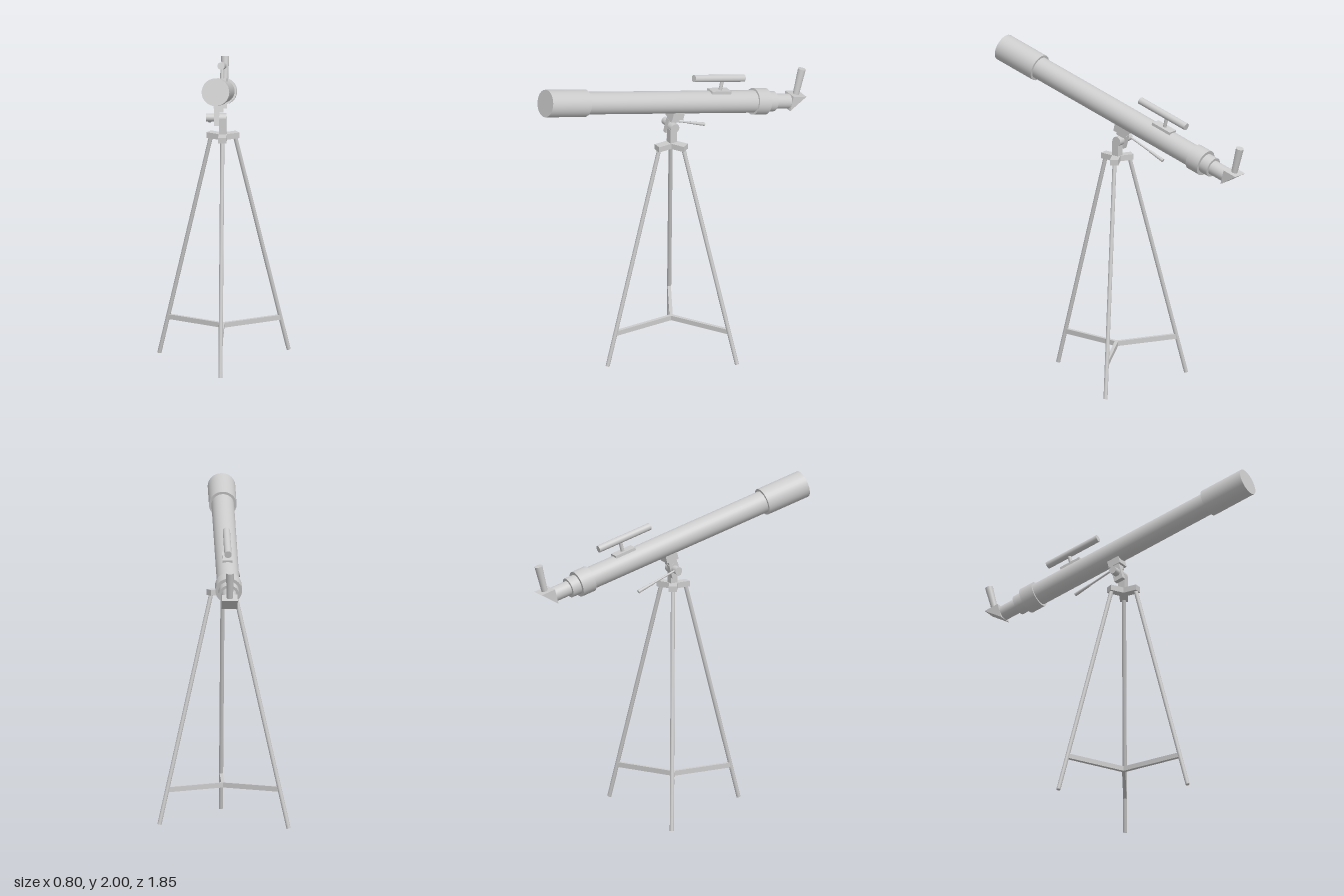
import * as THREE from 'three';

const mat = new THREE.MeshStandardMaterial({ color: 0xcccccc });
const TILT = Math.PI / 12;

function add(parent, name, geo, x = 0, y = 0, z = 0) {
  const m = new THREE.Mesh(geo, mat);
  m.name = name;
  m.position.set(x, y, z);
  parent.add(m);
  return m;
}

// Cylinder along local z between distances s0 and s1 behind the front end
function barrel(parent, name, r, s0, s1, y = 0) {
  const geo = new THREE.CylinderGeometry(r, r, s1 - s0, 32).rotateX(Math.PI / 2);
  return add(parent, name, geo, 0, y, -(s0 + s1) / 2);
}

// Round bar between two points, r0 at a and r1 at b
function rod(parent, name, a, b, r0, r1 = r0) {
  const d = b.clone().sub(a);
  const m = add(parent, name, new THREE.CylinderGeometry(r1, r0, d.length(), 12));
  m.position.copy(a).addScaledVector(d, 0.5);
  m.quaternion.setFromUnitVectors(new THREE.Vector3(0, 1, 0), d.normalize());
  return m;
}

function box(parent, name, w, h, d, x, y, z) {
  return add(parent, name, new THREE.BoxGeometry(w, h, d), x, y, z);
}

function createTelescope() {
  const g = new THREE.Group();
  g.name = 'telescope';
  g.position.set(-0.016, 1.92, 0.906);
  g.rotation.x = -TILT;

  // Main tube, stepping down to the focuser
  barrel(g, 'dewShield', 0.083, 0, 0.285);
  barrel(g, 'mainTube', 0.068, 0.27, 1.53);
  barrel(g, 'rearRing', 0.08, 1.51, 1.6);
  barrel(g, 'focuserCollar', 0.061, 1.59, 1.66);
  barrel(g, 'drawTube', 0.045, 1.65, 1.77);

  // Right-angle prism with its slanted face below and behind
  const tri = new THREE.Shape([[0, 0.047], [0, -0.047], [0.094, 0.047]].map(p => new THREE.Vector2(...p)));
  const prism = new THREE.ExtrudeGeometry(tri, { depth: 0.094, bevelEnabled: false });
  prism.translate(0, 0, -0.047).rotateY(Math.PI / 2);
  add(g, 'diagonalPrism', prism, 0, 0, -1.768);
  add(g, 'eyepiece', new THREE.CylinderGeometry(0.024, 0.019, 0.165, 24), 0, 0.127, -1.815);

  // Finder scope on its stem and foot
  barrel(g, 'finderScope', 0.022, 1.042, 1.406, 0.153);
  box(g, 'finderFoot', 0.06, 0.025, 0.14, 0, 0.066, -1.25);
  add(g, 'finderStem', new THREE.CylinderGeometry(0.011, 0.011, 0.08, 16), 0, 0.108, -1.254);

  // Saddle with a hollow top that carries the tube
  const R = 0.068, half = 0.04, a = Math.asin(half / R);
  const s = new THREE.Shape();
  s.moveTo(-half, -0.1);
  s.lineTo(half, -0.1);
  s.lineTo(half, -R * Math.cos(a));
  s.absarc(0, 0, R, -Math.PI / 2 + a, -Math.PI / 2 - a, true);
  s.closePath();
  const saddle = new THREE.ExtrudeGeometry(s, { depth: 0.08, bevelEnabled: false, curveSegments: 10 });
  add(g, 'saddle', saddle, 0, 0, -1.007);

  // Tilting bracket and its clamp knob
  box(g, 'saddleNeck', 0.055, 0.026, 0.055, -0.008, -0.112, -0.967);
  box(g, 'tiltCheek', 0.032, 0.085, 0.06, -0.021, -0.162, -0.967);
  add(g, 'clampKnob', new THREE.CylinderGeometry(0.024, 0.024, 0.05, 24).rotateZ(Math.PI / 2),
    -0.06, -0.155, -0.967);
  return g;
}

function createTripod() {
  const g = new THREE.Group();
  g.name = 'tripod';
  g.position.z = 0.03;

  // Three hub arms, legs and spreader arms around the centre
  const feet = [0.03, 0.03, 0.003];
  feet.forEach((footY, i) => {
    const side = new THREE.Group();
    side.name = 'tripodSide' + (i + 1);
    side.rotation.y = i * Math.PI * 2 / 3;
    box(side, 'hubArm', 0.05, 0.035, 0.1, 0, 1.408, 0.05);
    rod(side, 'leg', new THREE.Vector3(0, 1.41, 0.08), new THREE.Vector3(0, footY, 0.447), 0.0125);
    box(side, 'spreaderArm', 0.02, 0.03, 0.39, 0, 0.237, 0.195);
    g.add(side);
  });
  return g;
}

export function createModel() {
  const model = new THREE.Group();
  model.name = 'telescopeOnTripod';
  model.add(createTripod(), createTelescope());

  // Column with a rounded pivot head
  box(model, 'column', 0.042, 0.12, 0.045, 0, 1.455, 0.025);
  add(model, 'pivotHead', new THREE.CylinderGeometry(0.03, 0.03, 0.042, 24).rotateZ(Math.PI / 2), 0, 1.517, 0.015);

  // Steering handle, thicker at the grip
  const h0 = new THREE.Vector3(-0.087, 1.525, 0), h1 = new THREE.Vector3(-0.087, 1.425, -0.257);
  rod(model, 'panHandle', h0, h1, 0.006, 0.007);
  rod(model, 'handleGrip', h0.clone().lerp(h1, 0.6), h1, 0.008, 0.011);
  return model;
}
